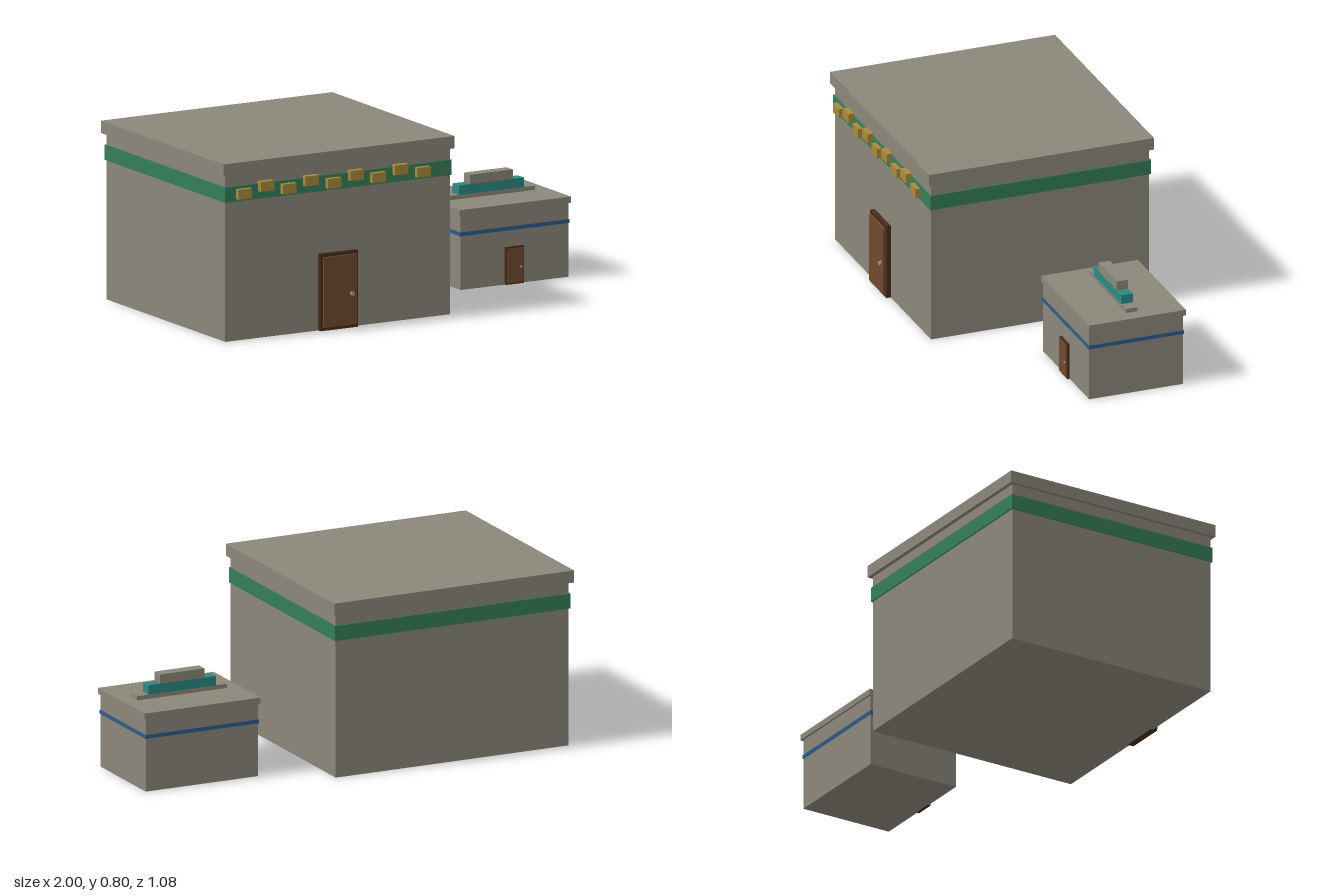
import * as THREE from 'three';

const material = (name, color) => {
  const m = new THREE.MeshStandardMaterial({ color });
  m.name = name;
  return m;
};

export function createModel() {
  const stone = material('stone', 0x8c877a);
  const green = material('green', 0x347d58);
  const blue = material('blue', 0x2a5c8c);
  const teal = material('teal', 0x2a8a84);
  const gold = material('gold', 0xa88a3c);
  const brown = material('brown', 0x704a2c);
  const darkBrown = material('darkBrown', 0x482c1a);
  const metal = material('metal', 0x999793);

  // Box given by its extents along each axis
  const box = (parent, name, mat, [x0, x1], [y0, y1], [z0, z1]) => {
    const mesh = new THREE.Mesh(new THREE.BoxGeometry(x1 - x0, y1 - y0, z1 - z0), mat);
    mesh.position.set((x0 + x1) / 2, (y0 + y1) / 2, (z0 + z1) / 2);
    mesh.name = name;
    parent.add(mesh);
  };

  // Door: dark frame, raised panel and round knob; s scales the size
  const door = (parent, x, z, s) => {
    const g = new THREE.Group();
    g.name = 'door';
    g.position.set(x, 0, z);
    g.scale.setScalar(s);
    box(g, 'doorFrame', darkBrown, [-0.095, 0.095], [0, 0.343], [-0.01, 0.021]);
    box(g, 'doorPanel', brown, [-0.083, 0.083], [0.015, 0.328], [0.015, 0.031]);
    const knob = new THREE.Mesh(new THREE.CylinderGeometry(0.01, 0.01, 0.014, 16), metal);
    knob.name = 'doorKnob';
    knob.rotation.x = Math.PI / 2;
    knob.position.set(0.057, 0.154, 0.033);
    g.add(knob);
    parent.add(g);
  };

  const model = new THREE.Group();
  model.name = 'buildings';

  // Large building
  const large = new THREE.Group();
  large.name = 'largeBuilding';
  model.add(large);
  box(large, 'walls', stone, [-0.982, 0.152], [0, 0.745], [-0.52, 0.502]);
  box(large, 'roof', stone, [-1, 0.167], [0.74, 0.795], [-0.537, 0.517]);
  box(large, 'greenBand', green, [-0.988, 0.158], [0.621, 0.689], [-0.526, 0.508]);
  door(large, -0.418, 0.502, 1);

  // Staggered sign blocks along the front band
  for (let i = 0; i < 9; i++) {
    const x = -0.898 + i * 0.113;
    const y = i % 2 ? 0.677 : 0.654;
    box(large, 'signBlock', gold, [x - 0.034, x + 0.034], [y - 0.022, y + 0.022], [0.502, 0.53]);
  }

  // Small building
  const small = new THREE.Group();
  small.name = 'smallBuilding';
  model.add(small);
  box(small, 'walls', stone, [0.444, 0.99], [0, 0.335], [-0.346, 0.094]);
  box(small, 'roof', stone, [0.436, 1], [0.33, 0.357], [-0.355, 0.099]);
  box(small, 'blueBand', blue, [0.441, 0.993], [0.24, 0.257], [-0.349, 0.097]);
  door(small, 0.714, 0.094, 0.488);

  // Stepped rooftop sign
  box(small, 'signBase', stone, [0.498, 0.936], [0.357, 0.376], [-0.154, -0.101]);
  box(small, 'signMiddle', teal, [0.551, 0.88], [0.376, 0.418], [-0.154, -0.101]);
  box(small, 'signTop', stone, [0.608, 0.824], [0.418, 0.46], [-0.154, -0.101]);

  return model;
}
